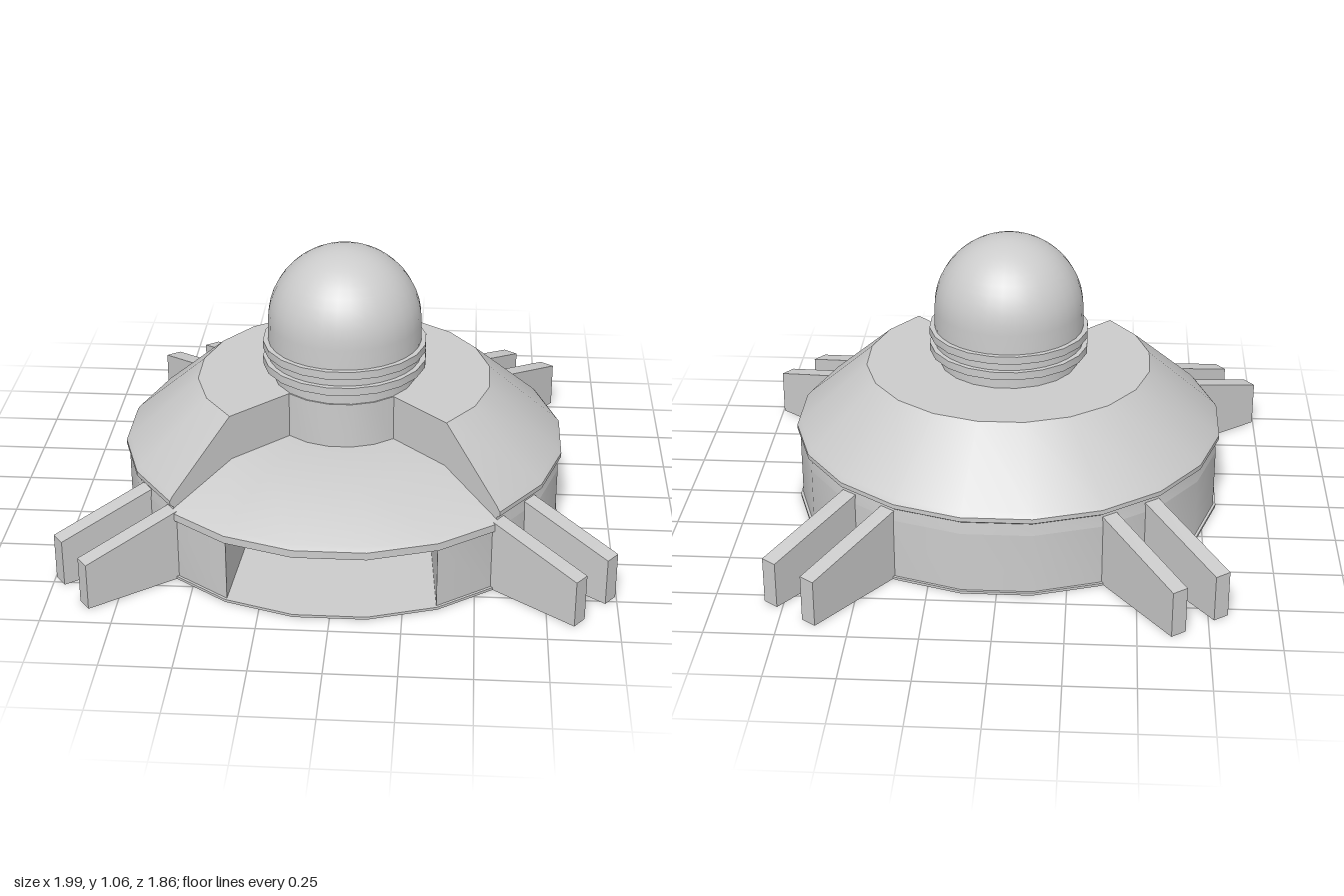
import * as THREE from 'three';
import { toCreasedNormals } from 'three/addons/utils/BufferGeometryUtils.js';

const SIDES = 20;
const RAD = Math.PI / 180;
const material = new THREE.MeshStandardMaterial({ color: 0xcccccc });
const thinMaterial = new THREE.MeshStandardMaterial({ color: 0xcccccc, side: THREE.DoubleSide });

const points = (list) => list.map(([a, b]) => new THREE.Vector2(a, b));

function part(name, geometry, mat = material) {
  const mesh = new THREE.Mesh(toCreasedNormals(geometry, 0.45), mat);
  mesh.name = name;
  return mesh;
}

// Revolved part; angles are measured from the front, in degrees
function turned(name, profile, segments = SIDES, start = 9, sweep = 360) {
  return part(name, new THREE.LatheGeometry(points(profile), segments, start * RAD, sweep * RAD));
}

// Solid base: a polygonal drum with the front bay cut out in plan
function baseWall() {
  const plan = [];
  for (let i = 0; i < 18; i++) {
    const a = (27 + 18 * i) * RAD;
    plan.push([0.81 * Math.sin(a), -0.81 * Math.cos(a)]);
  }
  plan.push([-0.33, -0.2], [0.33, -0.2]);
  const geometry = new THREE.ExtrudeGeometry(new THREE.Shape(points(plan)), { depth: 0.23, bevelEnabled: false });
  geometry.rotateX(-Math.PI / 2).translate(0, 0.01, 0);
  return part('baseWall', geometry);
}

// Pair of sloping fins standing out from the wall
function finPair(name, angle, reach) {
  const pair = new THREE.Group();
  pair.name = name;
  const side = new THREE.Shape(points([[0.7, 0], [reach, 0], [reach, 0.175], [0.76, 0.285], [0.7, 0.285]]));
  for (const offset of [-0.094, 0.094]) {
    const geometry = new THREE.ExtrudeGeometry(side, { depth: 0.062, bevelEnabled: false });
    geometry.translate(0, 0, offset - 0.031);
    pair.add(part('fin', geometry));
  }
  pair.rotation.y = -angle * RAD;
  return pair;
}

export function createModel() {
  const model = new THREE.Group();
  const body = new THREE.Group();
  body.name = 'station';
  body.position.z = 0.11;
  model.add(body);

  body.add(turned('floor', [[0, 0], [0.82, 0], [0.82, 0.01], [0, 0.01]]));
  body.add(baseWall());

  // Main roof covers three quarters of the circle
  const roofProfile = [[0, 0.24], [0.81, 0.24], [0.805, 0.285], [0.82, 0.295], [0.82, 0.312], [0.805, 0.33], [0.545, 0.555], [0, 0.555]];
  body.add(turned('mainRoof', roofProfile, 15, 45, 270));

  // Upright faces closing the roof at the cut-out
  for (const angle of [45, 135]) {
    const wall = part('cutFace', new THREE.ShapeGeometry(new THREE.Shape(points(roofProfile))), thinMaterial);
    wall.rotation.y = -angle * RAD;
    body.add(wall);
  }

  // Lower roof over the front bay, and the core behind it
  body.add(turned('frontRoof', [[0, 0.24], [0.82, 0.24], [0.82, 0.268], [0.8, 0.28], [0.54, 0.383], [0.2, 0.383]], 5, -45, 90));
  body.add(turned('core', [[0.27, 0.37], [0.27, 0.555], [0, 0.555]], 5, -45, 90));

  // Turret: neck, two collars and a dome
  body.add(turned('neck', [[0.265, 0.54], [0.265, 0.61]]));
  for (const y of [0.607, 0.67]) {
    body.add(turned('collar', [[0.26, y], [0.303, y], [0.303, y + 0.03], [0.26, y + 0.03]]));
  }
  const dome = [[0.25, 0.605], [0.283, 0.605], [0.283, 0.775]];
  for (let i = 1; i <= 12; i++) {
    const a = (i / 12) * Math.PI / 2;
    dome.push([i === 12 ? 0 : 0.283 * Math.cos(a), 0.775 + 0.282 * Math.sin(a)]);
  }
  body.add(turned('dome', dome, 32));

  // Fins, mirrored left and right
  for (const mirror of [false, true]) {
    const side = mirror ? 'right' : 'left';
    const turn = (a) => (mirror ? 180 - a : a);
    body.add(finPair(side + 'FrontFins', turn(37.5), 1.16));
    body.add(finPair(side + 'BackFins', turn(-53.5), 1.21));
  }
  return model;
}
